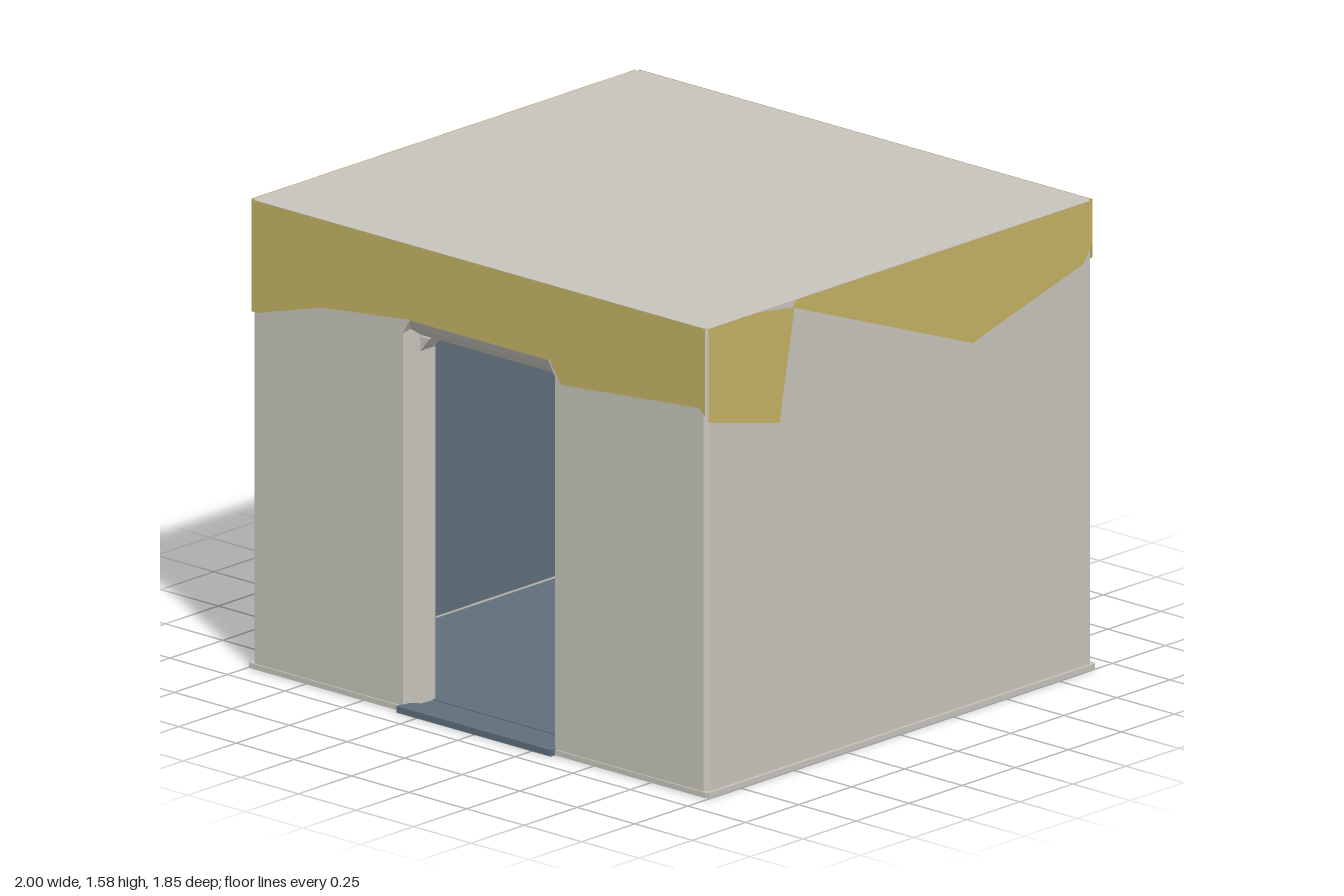
import * as THREE from 'three';

const paint = (color) => new THREE.MeshStandardMaterial({ color, flatShading: true, side: THREE.DoubleSide });

export function createModel() {
  const room = new THREE.Group();
  const plaster = paint(0xc6c4bb), ochre = paint(0xc4b263), slate = paint(0x5e6e7a), shade = paint(0x77787a);
  const H = 1.575, CEIL = 1.45;

  const add = (name, geometry, material) => {
    const mesh = new THREE.Mesh(geometry, material);
    mesh.name = name;
    room.add(mesh);
    return mesh;
  };
  const shapeOf = (points) => new THREE.Shape(points.map(([a, b]) => new THREE.Vector2(a, b)));

  // Extrudes a plan outline of [x, z] corners from y0 up to y1
  const rise = (name, plan, y0, y1, material) => {
    const g = new THREE.ExtrudeGeometry(shapeOf(plan.map(([x, z]) => [x, -z])), { depth: y1 - y0, bevelEnabled: false });
    return add(name, g.rotateX(-Math.PI / 2).translate(0, y0, 0), material);
  };

  // Flat painted panel of [u, y] corners, turned to face a wall direction
  const panel = (name, points, turn, offset, material) => {
    const g = new THREE.ShapeGeometry(shapeOf(points)).translate(0, 0, offset);
    return add(name, g.rotateY(turn), material);
  };

  // Walls: one chamfered plan with a splayed doorway in the front
  const outer = [
    [0.33, 0.9], [0.975, 0.9], [0.99, 0.88], [0.99, -0.905], [0.975, -0.92],
    [-0.975, -0.92], [-0.99, -0.905], [-0.99, 0.88], [-0.975, 0.9], [-0.33, 0.9],
  ];
  const plan = [...outer, [-0.325, 0.87], [-0.295, 0.85], [-0.29, 0.79],
    [-0.88, 0.79], [-0.88, -0.8], [0.88, -0.8], [0.88, 0.79], [0.33, 0.79]];
  rise('wallFooting', plan, 0, 0.01, slate);
  rise('walls', plan, 0.01, CEIL, plaster);
  rise('roof', outer, CEIL, H, plaster);

  // Low lip around the foot of the walls
  const lip = [[0, -0.92, 1.98, 0.012], [-0.99, -0.01, 0.018, 1.82], [0.99, -0.01, 0.018, 1.82],
    [-0.66, 0.9, 0.66, 0.01], [0.66, 0.9, 0.66, 0.01]];
  for (const [x, z, w, d] of lip) {
    add('baseLip', new THREE.BoxGeometry(w, 0.018, d).translate(x, 0.01, z), plaster);
  }

  // Sloped lintel and cut corners over the doorway
  const lintel = new THREE.ExtrudeGeometry(
    shapeOf([[0.9, CEIL], [0.9, 1.32], [0.88, 1.29], [0.85, 1.26], [0.79, 1.25], [0.79, CEIL]]),
    { depth: 0.66, bevelEnabled: false });
  add('lintel', lintel.rotateY(-Math.PI / 2).translate(0.33, 0, 0), plaster);
  for (const [side, x] of [[-1, -0.33], [1, 0.33]]) {
    const corner = shapeOf([[x, 1.27], [x, 1.32], [x - side * 0.03, 1.32]]);
    add('doorCorner', new THREE.ExtrudeGeometry(corner, { depth: 0.05, bevelEnabled: false })
      .translate(0, 0, 0.85), plaster);
    const xi = side < 0 ? -0.29 : 0.33;
    const inner = shapeOf([[xi, 1.21], [xi, 1.26], [xi - side * 0.04, 1.26]]);
    add('doorCorner', new THREE.ExtrudeGeometry(inner, { depth: 0.07, bevelEnabled: false })
      .translate(0, 0, 0.79), plaster);
  }

  // Worn paint band: ragged lower edges under the roof line
  const PI = Math.PI;
  panel('frontPaintBand', [[-0.985, H], [-0.985, 1.2], [-0.96, 1.2], [-0.68, 1.28], [-0.31, 1.322],
    [0.31, 1.322], [0.36, 1.25], [0.96, 1.305], [0.985, 1.28], [0.985, H]], 0, 0.903, ochre);
  panel('leftPaintBand', [[-0.895, H], [-0.895, 1.26], [-0.56, 1.18], [-0.49, 1.55], [0.35, 1.23],
    [0.42, 1.25], [0.87, 1.37], [0.915, 1.43], [0.915, H], [-0.48, H], [-0.5, 1.553], [-0.66, H]],
  PI / 2, 0.993, ochre);
  panel('backPaintBand', [[-0.985, H], [-0.985, 1.38], [-0.62, 1.12], [-0.62, 1.52], [-0.46, 1.19],
    [-0.16, 1.295], [0.265, 1.325], [0.43, 1.265], [0.985, 1.295], [0.985, H]], PI, 0.923, ochre);
  panel('rightPaintBand', [[-0.915, H], [-0.915, 1.295], [0.33, 1.23], [0.895, 1.345], [0.895, H]],
    -PI / 2, 0.993, ochre);

  // Floor, kept clear of the side walls, with the doorway sill
  add('floor', new THREE.BoxGeometry(1.7, 0.025, 1.61).translate(0, 0.0135, -0.005), slate);
  add('doorSill', new THREE.BoxGeometry(0.67, 0.022, 0.145).translate(0, 0.012, 0.8525), slate);

  // Painted lining of the interior
  const wall = (a, b) => [[a, 0.02], [b, 0.02], [b, CEIL], [a, CEIL]];
  panel('rightLining', wall(-0.79, 0.8), PI / 2, -0.877, slate);
  panel('leftLining', wall(-0.8, 0.79), -PI / 2, -0.877, slate);
  panel('frontLining', [[-0.88, 0.02], [-0.33, 0.02], [-0.33, 1.21], [-0.29, 1.25], [0.25, 1.25], [0.29, 1.21],
    [0.29, 0.02], [0.88, 0.02], [0.88, CEIL], [-0.88, CEIL]], PI, -0.787, slate);
  panel('backLiningRight', [[-0.88, 0.32], [-0.3, 0.25], [-0.17, 0.2], [-0.06, 0.3], [-0.02, 0.48],
    [0.02, CEIL], [-0.88, CEIL]], 0, -0.797, slate);
  panel('backLiningLeft', [[0.02, 0.28], [0.055, 0.45], [0.33, 0.3], [0.88, 0.25], [0.88, CEIL], [0.02, CEIL]],
    0, -0.797, slate);
  add('ceiling', new THREE.PlaneGeometry(1.76, 1.59).rotateX(PI / 2).translate(0, CEIL - 0.003, -0.005), slate);

  // Ragged fissure down the back wall: dark bed with a raised edge
  panel('fissure', [[0, CEIL], [0, 0.5], [-0.02, 0.48], [-0.01, 0.31], [-0.1, 0.24], [-0.18, 0.15], [-0.3, 0.08],
    [-0.42, 0.02], [-0.34, 0.02], [-0.15, 0.12], [-0.08, 0.2], [0.015, 0.27], [0.05, 0.45], [0.03, 0.55],
    [0.03, CEIL]], 0, -0.793, shade);
  const edge = shapeOf([[0.005, CEIL], [0.005, 0.55], [0.012, 0.3], [0.022, 0.32], [0.028, 0.55], [0.028, CEIL]]);
  add('fissureEdge', new THREE.ExtrudeGeometry(edge, { depth: 0.015, bevelEnabled: false })
    .translate(0, 0, -0.8), slate);

  return room;
}
